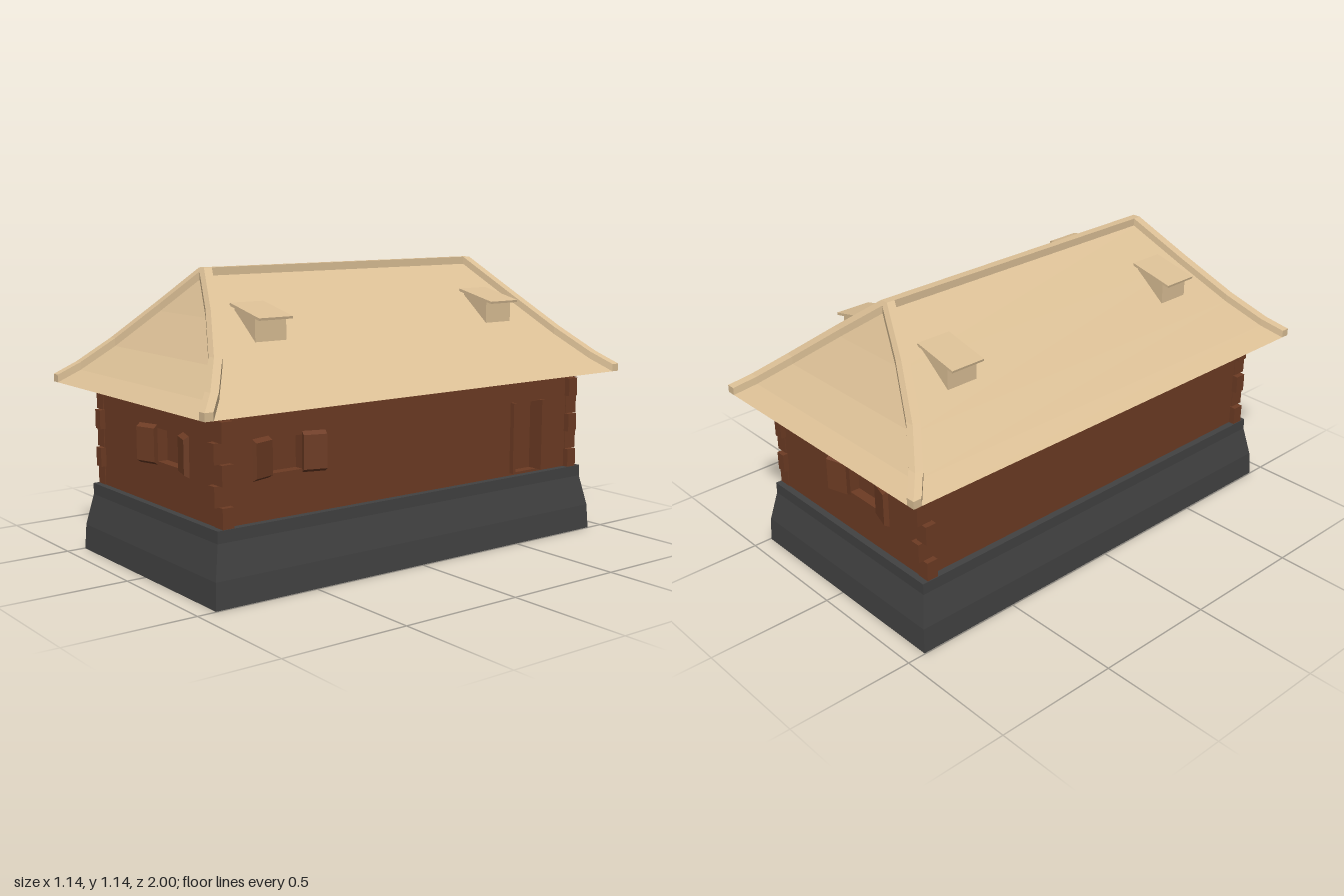
import * as THREE from 'three';

const mat = (color) => new THREE.MeshStandardMaterial({ color, flatShading: true });
const wood = mat(0x6e3c24), thatch = mat(0xdcc096), stone = mat(0x424242);

const WX = 0.438, WZ = 0.868, Y0 = 0.27, Y1 = 0.675, REVEAL = 0.04;

// Solid through cross-sections; each ring runs anticlockwise seen from the far end.
function loft(rings) {
  const pos = [];
  const tri = (a, b, c) => pos.push(...a, ...b, ...c);
  const n = rings[0].length;
  for (let i = 0; i < rings.length - 1; i++) {
    for (let j = 0; j < n; j++) {
      const k = (j + 1) % n, r = rings[i], s = rings[i + 1];
      tri(r[j], r[k], s[k]);
      tri(r[j], s[k], s[j]);
    }
  }
  const first = rings[0], last = rings[rings.length - 1];
  for (let k = 1; k < n - 1; k++) {
    tri(first[0], first[k + 1], first[k]);
    tri(last[0], last[k], last[k + 1]);
  }
  const g = new THREE.BufferGeometry();
  g.setAttribute('position', new THREE.Float32BufferAttribute(pos, 3));
  g.computeVertexNormals();
  return g;
}

const rect = ([x, z, y]) => [[x, y, z], [x, y, -z], [-x, y, -z], [-x, y, z]];

function add(parent, name, geometry, material) {
  const m = new THREE.Mesh(geometry, material);
  m.name = name;
  parent.add(m);
  return m;
}

// Box given by its limits
function block(parent, name, x0, x1, y0, y1, z0, z1, material) {
  const g = new THREE.BoxGeometry(x1 - x0, y1 - y0, z1 - z0);
  g.translate((x0 + x1) / 2, (y0 + y1) / 2, (z0 + z1) / 2);
  return add(parent, name, g, material);
}

// Wall facing +z with rectangular openings [x0, x1, y0, y1]
function wall(name, halfWidth, openings) {
  const group = new THREE.Group();
  group.name = name;
  const box = (P, x0, x1, y0, y1) => {
    const p = new P();
    p.moveTo(x0, y0); p.lineTo(x1, y0); p.lineTo(x1, y1); p.lineTo(x0, y1); p.closePath();
    return p;
  };
  const s = box(THREE.Shape, -halfWidth, halfWidth, Y0, Y1);
  openings.forEach((o) => s.holes.push(box(THREE.Path, ...o)));
  const g = new THREE.ExtrudeGeometry(s, { depth: REVEAL, bevelEnabled: false });
  add(group, name + 'Panel', g.translate(0, 0, -REVEAL), wood);
  return group;
}

// Pair of half-open shutters with bevelled faces beside an opening
function shutters(parent, [x0, x1, y0, y1]) {
  for (const side of [-1, 1]) {
    const L = 0.088;
    const g = new THREE.BoxGeometry(L, y1 - y0 + 0.025, 0.02);
    const p = g.attributes.position;
    for (let i = 0; i < p.count; i++) if (p.getZ(i) > 0) p.setY(i, p.getY(i) * 0.84);
    g.translate(side * L / 2, 0, 0.01);
    g.computeVertexNormals();
    const m = add(parent, 'shutter', g, wood);
    m.position.set(side < 0 ? x0 : x1, (y0 + y1) / 2, 0);
    m.rotation.y = -side * 0.3;
  }
}

export function createModel() {
  const model = new THREE.Group();
  model.name = 'logHouse';

  // Flared stone plinth
  const plinth = [[0.497, 0.925, 0], [0.491, 0.92, 0.1], [0.466, 0.895, 0.225], [0.466, 0.895, Y0]];
  add(model, 'plinth', loft(plinth.map(rect)), stone);

  // Walls with recessed openings around an inner core
  block(model, 'wallCore', -WX + REVEAL, WX - REVEAL, Y0, Y1, -WZ + REVEAL, WZ - REVEAL, wood);
  const endWindow = [0.015, 0.2, 0.435, 0.56];
  for (const s of [1, -1]) {
    const w = wall(s > 0 ? 'frontWall' : 'backWall', WX, [endWindow]);
    shutters(w, endWindow);
    w.position.z = s * WZ;
    w.rotation.y = s > 0 ? 0 : Math.PI;
    model.add(w);
  }
  const sideWindow = [-0.665, -0.52, 0.435, 0.56];
  const left = wall('leftWall', WZ, [sideWindow, [0.52, 0.672, 0.28, 0.565]]);
  shutters(left, sideWindow);
  block(left, 'doorJamb', 0.512, 0.526, 0.28, 0.57, -REVEAL, 0.02, wood);
  block(left, 'doorJamb', 0.664, 0.678, 0.28, 0.57, -REVEAL, 0.028, wood);
  left.position.x = WX;
  left.rotation.y = Math.PI / 2;
  const right = wall('rightWall', WZ, []);
  right.position.x = -WX;
  right.rotation.y = -Math.PI / 2;
  model.add(left, right);

  // Interlocking log ends, alternating direction with each course
  for (const sx of [-1, 1]) for (const sz of [-1, 1]) {
    for (let i = 0; i < 6; i++) {
      const y0 = Y0 + i * 0.075, y1 = Math.min(y0 + 0.075, Y1);
      const [xa, xb, za, zb] = i % 2 ? [0.402, 0.441, 0.83, 0.89] : [0.41, 0.463, 0.825, 0.871];
      const xs = [sx * xa, sx * xb].sort((a, b) => a - b);
      const zs = [sz * za, sz * zb].sort((a, b) => a - b);
      block(model, 'logEnd', ...xs, y0, y1, ...zs, wood);
    }
  }

  // Hipped roof with swept eaves: half-width, half-length, height
  const hip = [[0.57, 1, 0.675], [0.5, 0.935, 0.727], [0.38, 0.845, 0.825],
    [0.2, 0.745, 0.968], [0.017, 0.66, 1.106]];
  add(model, 'roof', loft(hip.map(rect)), thatch);

  // Raised caps along the ridge and the four hips
  block(model, 'ridgeCap', -0.017, 0.017, 1.09, 1.136, -0.66, 0.66, thatch);
  const H = 0.03;
  for (const sx of [-1, 1]) for (const sz of [-1, 1]) {
    const rings = hip.map(([x, z, y]) => {
      const c = (px, pz, py) => [sx * px, py, sz * pz];
      const f = x - 0.036, s = z - 0.034;
      const ring = [c(x, z, y), c(f, z, y), c(f, z, y + H), c(x, z, y + H), c(x, s, y + H), c(x, s, y)];
      return sx * sz > 0 ? ring : [ring[0], ...ring.slice(1).reverse()];
    });
    add(model, 'hipCap', loft(rings), thatch);
  }

  // Four small dormers
  for (const turn of [0, Math.PI]) for (const z of [-0.56, 0.56]) {
    const dormer = new THREE.Group();
    dormer.name = 'dormer';
    const prism = (name, pts, width) => {
      const s = new THREE.Shape(pts.map(([x, y]) => new THREE.Vector2(x, y)));
      const g = new THREE.ExtrudeGeometry(s, { depth: width, bevelEnabled: false });
      add(dormer, name, g.translate(0, 0, z - width / 2), thatch);
    };
    prism('dormerBody', [[0.17, 0.97], [0.305, 0.87], [0.305, 0.973], [0.17, 1.0]], 0.134);
    prism('dormerRoof', [[0.147, 1.004], [0.338, 0.964], [0.34, 0.973], [0.149, 1.015]], 0.146);
    dormer.rotation.y = turn;
    model.add(dormer);
  }
  return model;
}
